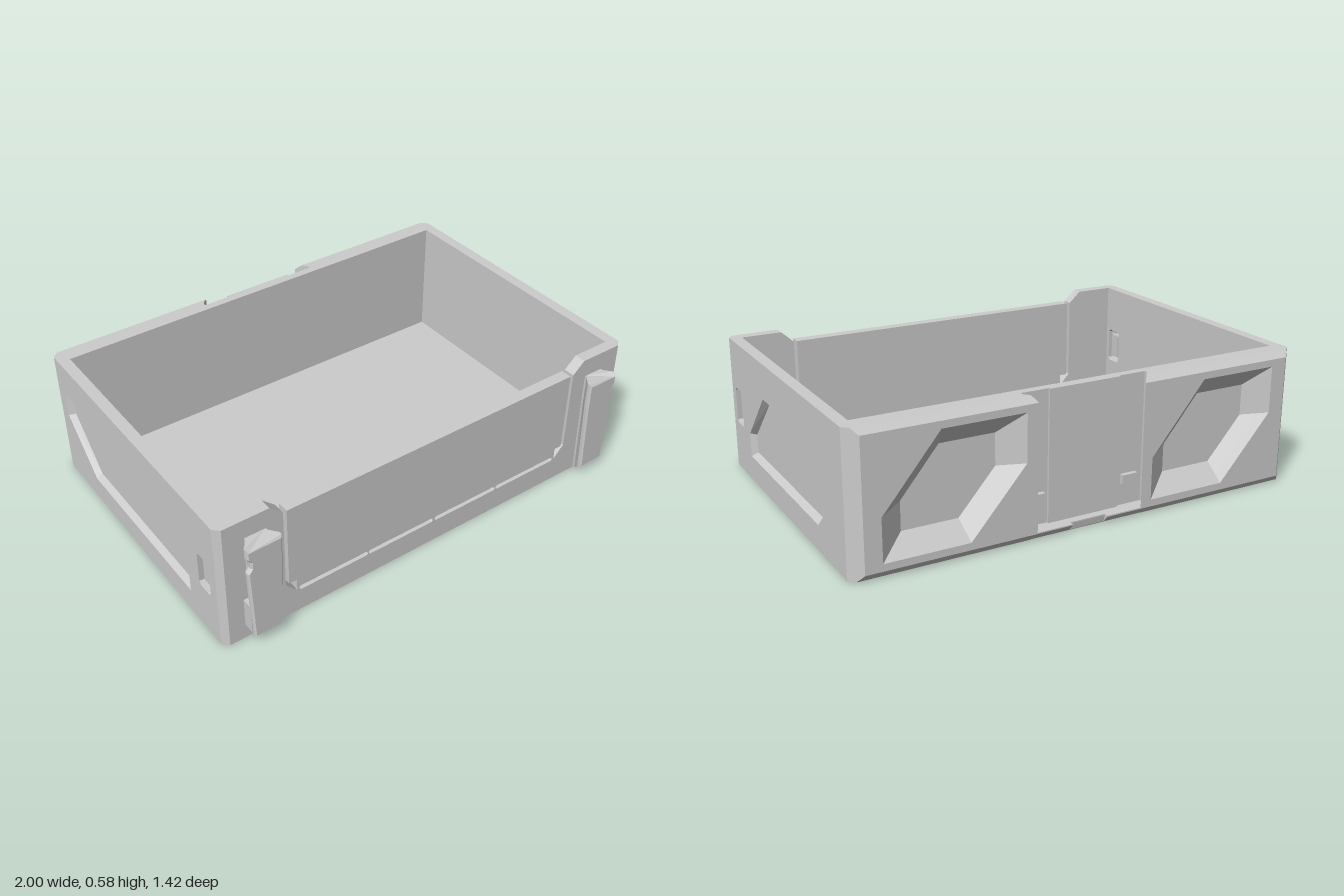
import * as THREE from 'three';

const grey = new THREE.MeshStandardMaterial({ color: 0xcccccc, flatShading: true });
const H = 0.585; // height of the walls

const shapeOf = (pts, holes = []) => {
  const toV = (l) => l.map(([x, y]) => new THREE.Vector2(x, y));
  const s = new THREE.Shape(toV(pts));
  holes.forEach((h) => s.holes.push(new THREE.Path(toV(h))));
  return s;
};

const rect = (x0, y0, x1, y1) => [[x0, y0], [x1, y0], [x1, y1], [x0, y1]];

// Rectangle with clipped corners, used for the slots
const slot = (x0, y0, x1, y1, c) => [[x0 + c, y0], [x1 - c, y0], [x1, y0 + c], [x1, y1 - c],
  [x1 - c, y1], [x0 + c, y1], [x0, y1 - c], [x0, y0 + c]];

// Extrudes a shape through numbered levels, then places each vertex by rule(v, level)
function layered(shape, count, rule) {
  const g = new THREE.ExtrudeGeometry(shape, { depth: count, steps: count, bevelEnabled: false });
  const p = g.attributes.position;
  const v = new THREE.Vector3();
  for (let i = 0; i < p.count; i++) {
    v.fromBufferAttribute(p, i);
    rule(v, Math.round(v.z));
    p.setXYZ(i, v.x, v.y, v.z);
  }
  g.computeVertexNormals();
  return g;
}

// Moves a vertex of one outline towards the matching corner of another
function taper(v, from, to, t) {
  const i = from.findIndex(([x, y]) => Math.hypot(v.x - x, v.y - y) < 1e-4);
  if (i < 0) return false;
  v.x += (to[i][0] - v.x) * t;
  v.y += (to[i][1] - v.y) * t;
  return true;
}

// Mirror copy across x with the winding put right
function mirrored(geo) {
  const g = geo.index ? geo.toNonIndexed() : geo.clone();
  const p = g.attributes.position;
  const a = new THREE.Vector3(), c = new THREE.Vector3();
  for (let i = 0; i < p.count; i += 3) {
    a.fromBufferAttribute(p, i);
    c.fromBufferAttribute(p, i + 2);
    p.setXYZ(i, -c.x, c.y, c.z);
    p.setX(i + 1, -p.getX(i + 1));
    p.setXYZ(i + 2, -a.x, a.y, a.z);
  }
  g.computeVertexNormals();
  return g;
}

const box = (x0, x1, y0, y1, z0, z1) => new THREE.BoxGeometry(x1 - x0, y1 - y0, z1 - z0)
  .translate((x0 + x1) / 2, (y0 + y1) / 2, (z0 + z1) / 2);

export function createModel() {
  const group = new THREE.Group();
  const add = (name, geo) => {
    const m = new THREE.Mesh(geo, grey);
    m.name = name;
    group.add(m);
  };
  const pair = (name, geo) => {
    add(name + 'Left', geo);
    add(name + 'Right', mirrored(geo));
  };

  // Floor and inner back wall
  add('floor', box(-0.95, 0.95, 0, 0.05, -0.61, 0.595));
  add('backInnerWall', box(-0.95, 0.95, 0, H, -0.645, -0.61));

  // Side walls: drawn with u = -z, then turned to face outwards
  const strapSlot = slot(-0.575, 0.215, -0.49, 0.375, 0.012);
  const panel = [[-0.41, 0.215], [-0.41, 0.11], [0.39, 0.11], [0.6, 0.32], [0.6, 0.43], [-0.195, 0.43]];
  const panelFloor = [[-0.39, 0.21], [-0.39, 0.13], [0.385, 0.13], [0.58, 0.33], [0.58, 0.41], [-0.185, 0.41]];
  const sideOutline = rect(-0.645, 0, 0.645, H);
  pair('sideInnerWall', layered(shapeOf(sideOutline, [strapSlot]), 1, (v, k) => {
    v.z = 0.95 + 0.025 * k;
  }).rotateY(Math.PI / 2));
  pair('sidePanel', layered(shapeOf(sideOutline, [strapSlot, panel]), 1, (v, k) => {
    if (k === 0) taper(v, panel, panelFloor, 1);
    else if (v.x < -0.64) v.x = -0.62; // front corner chamfer
    v.z = 0.975 + 0.025 * k;
  }).rotateY(Math.PI / 2));

  // Strap bars held in the side slots
  pair('strapBar', box(0.955, 0.985, 0.24, 0.35, 0.505, 0.555));
  for (const y of [0.24, 0.35]) pair('strapBarPin', box(0.965, 0.975, y - 0.002, y + 0.002, 0.49, 0.575));

  // Front wall with lowered flap, side slits and a row of hinge slots
  const edge = [[0.95, 0], [0.95, H], [0.775, H], [0.72, 0.535], [0.72, 0.165], [0.67, 0.11],
    [0.67, 0.165], [0.705, 0.165], [0.705, 0.535]];
  const frontOutline = [...edge, ...edge.map(([x, y]) => [-x, y]).reverse()];
  const hingeSlots = [-0.66, -0.33, 0.005, 0.335].map((x) => slot(x, 0.105, x + 0.325, 0.125, 0.006));
  add('frontWall', layered(shapeOf(frontOutline, hingeSlots), 1, (v, k) => {
    v.z = 0.595 + 0.05 * k;
  }));

  // Back blocks with chamfered edges, dovetail inner sides and a tapered six-sided pocket
  const levels = [-0.71, -0.685, -0.66, -0.645];
  const outerX = [0.95, 0.975, 1, 1];
  const innerX = [0.24, 0.26, 0.28, 0.28];
  for (const side of [1, -1]) {
    const dx = side > 0 ? 0 : -1.168; // the pocket is repeated, not mirrored
    const pocket = [[0.88, 0.06], [0.88, 0.24], [0.64, 0.53], [0.288, 0.53], [0.288, 0.33], [0.525, 0.06]]
      .map(([x, y]) => [x + dx, y]);
    const pocketFloor = pocket.map(([x, y]) => [(x - 0.584 - dx) * 0.66 + 0.584 + dx, (y - 0.295) * 0.66 + 0.295]);
    const outline = side > 0 ? rect(0.24, 0, 1, H) : rect(-1, 0, -0.24, H);
    add(side > 0 ? 'backBlockLeft' : 'backBlockRight', layered(shapeOf(outline, [pocket]), 3, (v, k) => {
      const t = (levels[k] - levels[0]) / 0.065;
      if (!taper(v, pocket, pocketFloor, t)) {
        v.x = side * (Math.abs(v.x) > 0.9 ? outerX[k] : innerX[k]);
        if (k === 0) v.y = v.y < 0.1 ? 0.03 : H - 0.025;
      }
      v.z = levels[k];
    }));
  }

  // Centre channel at the back: raised plate, catches and bottom lip with a notch
  add('channelPlate', box(-0.16, 0.16, 0, H, -0.655, -0.645));
  pair('channelCatch', box(0.18, 0.25, 0.13, 0.17, -0.665, -0.645));
  const lip = (x0, x1, z) => layered(
    shapeOf([[0.645, 0], [0.645, 0.035], [-z, 0.035], [-z, 0.03], [0.685, 0.003], [0.683, 0]]), 1,
    (v, k) => { v.z = -x1 + (x1 - x0) * k; }).rotateY(Math.PI / 2)
    .rotateY(0);
  // profile is drawn with u = -z, so the extrusion runs along x
  pair('channelLip', lip(-0.28, -0.08, -0.71));
  add('channelLipNotch', lip(-0.08, 0.08, -0.69));

  // Dovetail connectors on the front, with a finger notch on the outer side
  const yLevels = [0, 0.385, 0.405, 0.435, 0.455, 0.5];
  const dovetail = [[-0.046, -0.64], [-0.046, -0.655], [-0.075, -0.69], [-0.075, -0.702], [-0.068, -0.71],
    [0.068, -0.71], [0.075, -0.702], [0.075, -0.69], [0.046, -0.655], [0.046, -0.64]];
  const connector = layered(shapeOf(dovetail), 5, (v, k) => {
    const z = -v.y;
    let x = v.x;
    if ((k === 2 || k === 3) && x > 0.05) x -= 0.015;
    if (k === 0) x *= 0.8;
    let y = yLevels[k];
    if (k === 0) y = Math.max(0, (z - 0.645) * 0.92); // sloped foot
    if (k === 5 && z > 0.705) y -= 0.012;
    v.set(x + 0.84, y, z);
  });
  pair('connector', connector);
  pair('connectorStop', box(0.88, 0.905, 0.07, 0.2, 0.645, 0.695));

  return group;
}
